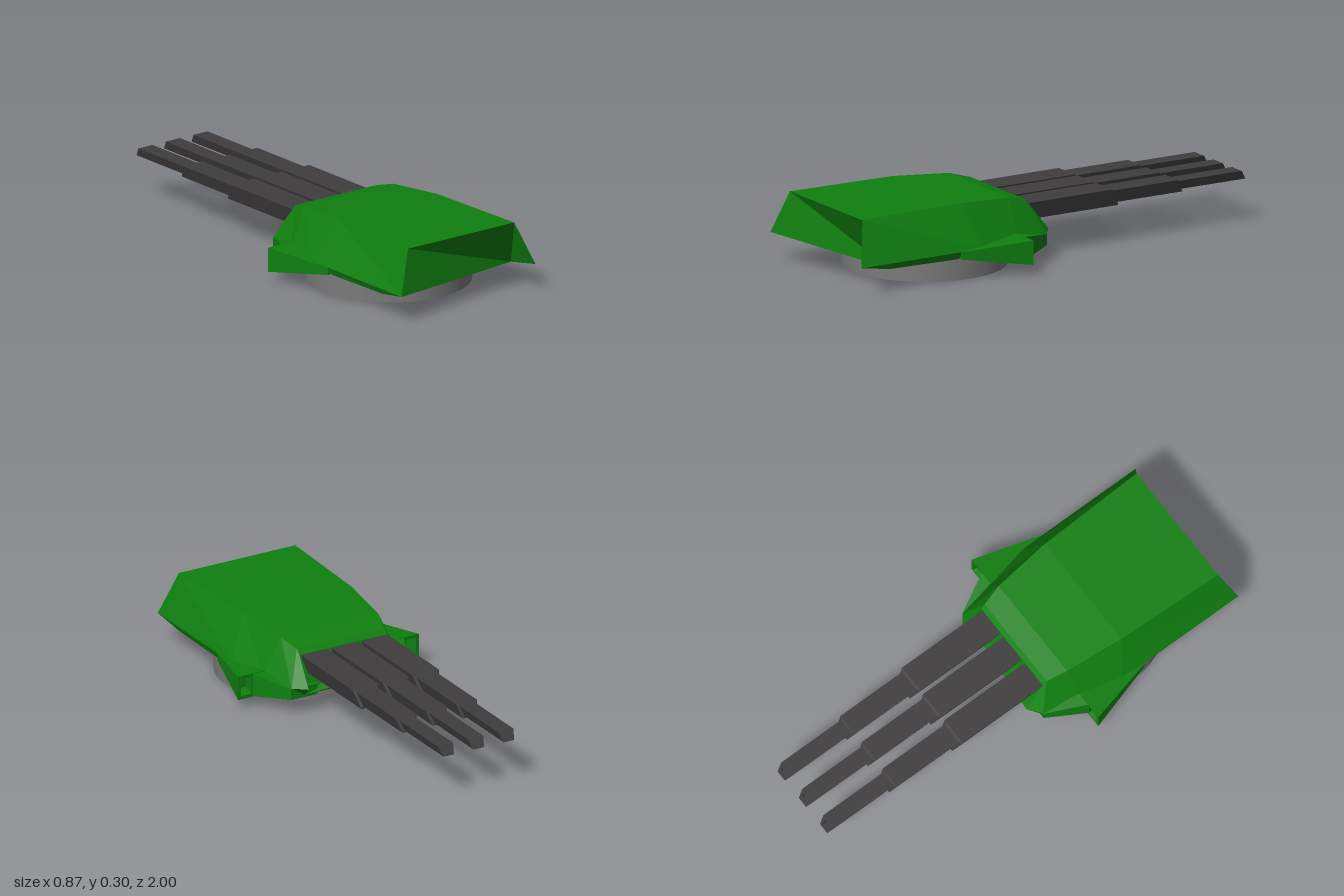
import * as THREE from 'three';

const mat = (name, color) => {
  const m = new THREE.MeshStandardMaterial({ color });
  m.name = name;
  return m;
};

// Skin through rings ordered from +z to -z; each ring runs counter-clockwise seen from +z.
function loft(rings) {
  const pos = [];
  const tri = (...p) => p.forEach((v) => pos.push(...v));
  const n = rings[0].length;
  for (let k = 0; k + 1 < rings.length; k++) {
    const a = rings[k], b = rings[k + 1];
    for (let i = 0; i < n; i++) {
      const j = (i + 1) % n;
      tri(a[i], b[i], a[j]);
      tri(a[j], b[i], b[j]);
    }
  }
  const first = rings[0], last = rings[rings.length - 1];
  for (let i = 1; i + 1 < n; i++) {
    tri(first[0], first[i], first[i + 1]);
    tri(last[0], last[i + 1], last[i]);
  }
  const g = new THREE.BufferGeometry();
  g.setAttribute('position', new THREE.Float32BufferAttribute(pos, 3));
  g.computeVertexNormals();
  return g;
}

// Symmetric hull ring from top, waist and belly points given as [halfWidth, y, z]
const hullRing = ([t, m, b]) => [
  [b[0], b[1], b[2]], [m[0], m[1], m[2]], [t[0], t[1], t[2]],
  [-t[0], t[1], t[2]], [-m[0], m[1], m[2]], [-b[0], b[1], b[2]],
];

// Rectangular ring, optionally mirrored to the other side
const rect = (x0, x1, y0, y1, z, side = 1) => {
  const r = [[x0, y0, z], [x1, y0, z], [x1, y1, z], [x0, y1, z]];
  return side > 0 ? r : r.map(([x, y, w]) => [-x, y, w]).reverse();
};

export function createModel() {
  const group = new THREE.Group();
  const green = mat('armour green', 0x0f800f);
  const grey = mat('ring grey', 0x7a7a7a);
  const dark = mat('gun grey', 0x3f3d3e);
  const add = (name, geometry, material) => {
    const mesh = new THREE.Mesh(geometry, material);
    mesh.name = name;
    group.add(mesh);
    return mesh;
  };

  // Rotating ring under the turret
  add('baseRing', new THREE.CylinderGeometry(0.345, 0.345, 0.092, 48), grey)
    .position.set(0, 0.046, 0.467);

  // Armoured house, from rear to gun face
  add('turretHouse', loft([
    [[0.28, 0.304, 0.95], [0.352, 0.121, 1.0], [0.34, 0.095, 0.85]],
    [[0.262, 0.304, 0.46], [0.352, 0.121, 0.4], [0.34, 0.09, 0.5]],
    [[0.235, 0.287, 0.2], [0.315, 0.121, 0.21], [0.3, 0.08, 0.21]],
    [[0.212, 0.262, 0.11], [0.275, 0.121, 0.045], [0.265, 0.08, 0.05]],
    [[0.21, 0.242, 0.092], [0.22, 0.121, 0], [0.21, 0.08, 0.045]],
  ].map(hullRing)), green);

  for (const s of [1, -1]) {
    const side = s > 0 ? 'left' : 'right';
    // Rangefinder ear with a recessed opening toward the guns
    add(side + 'RangefinderEar', loft([
      rect(0.3, 0.355, 0.09, 0.121, 0.51, s),
      rect(0.3, 0.435, 0.043, 0.148, 0.21, s),
      rect(0.37, 0.422, 0.058, 0.134, 0.21, s),
      rect(0.36, 0.408, 0.065, 0.13, 0.27, s),
    ]), green);
    // Lower fairing between ear and gun face
    add(side + 'Fairing', loft([
      rect(0.2, 0.365, 0.045, 0.146, 0.212, s),
      rect(0.15, 0.278, 0.07, 0.118, 0.045, s),
    ]), green);
  }

  // Gun ring: trapezoid wider at the top, its end raked so the bottom reaches further
  const gunRing = (hw, y0, y1, zTop, rake) => [
    [-hw * 0.68, y0, zTop - rake], [hw * 0.68, y0, zTop - rake],
    [hw, y1, zTop], [-hw, y1, zTop],
  ];
  const gun = loft([
    gunRing(0.063, 0.163, 0.239, 0.2, 0),
    gunRing(0.063, 0.163, 0.239, -0.325, 0.04),
    gunRing(0.05, 0.174, 0.23, -0.335, 0.03),
    gunRing(0.05, 0.174, 0.23, -0.655, 0.03),
    gunRing(0.037, 0.183, 0.222, -0.663, 0.02),
    gunRing(0.037, 0.183, 0.222, -0.973, 0.027),
    gunRing(0.022, 0.192, 0.213, -0.979, 0.015),
    gunRing(0.022, 0.192, 0.213, -0.92, 0),
  ]);
  for (const [i, x] of [-0.15, -0.005, 0.14].entries())
    add('gunBarrel' + (i + 1), gun, dark).position.x = x;

  return group;
}
